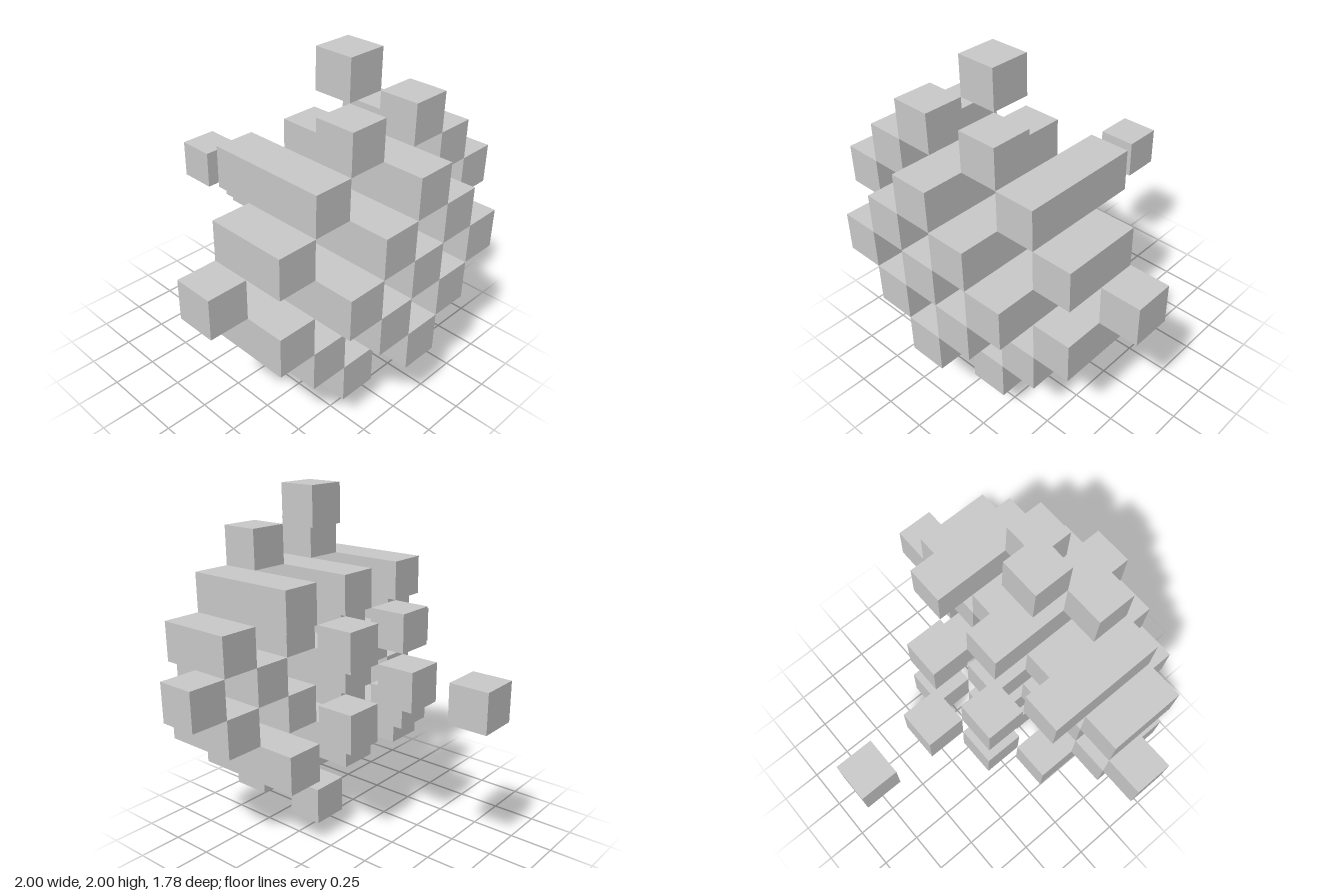
import * as THREE from 'three';

const UNIT = 2 / 9; // edge of one cube

export function createModel() {
  const group = new THREE.Group();
  const material = new THREE.MeshStandardMaterial({ color: 0xcccccc, flatShading: true });

  // Square bar in column (i, j), filling depth cells from back to front
  function addBar(name, i, j, back, front) {
    const depth = (front - back + 1) * UNIT;
    const bar = new THREE.Mesh(new THREE.BoxGeometry(UNIT, UNIT, depth), material);
    bar.position.set(i * UNIT, 1 + j * UNIT, back * UNIT + depth / 2);
    bar.name = name;
    group.add(bar);
  }

  // Same bar mirrored left-right and up-down
  function addMirrored(name, i, j, back, front) {
    for (const x of i ? [-i, i] : [0]) {
      for (const y of j ? [-j, j] : [0]) addBar(name, x, y, back, front);
    }
  }

  // Centre column and its two trailing cubes
  addBar('centreBar', 0, 0, 0, 3);
  addBar('innerBackCube', 0, 0, -2, -2);
  addBar('tailCube', 0, 0, -4, -4);

  // Ring around the centre, with loose cubes behind
  addMirrored('innerBar', 1, 1, 1, 3);
  addMirrored('backCube', 1, 1, -1, -1);

  // Middle ring
  addMirrored('sideBar', 2, 0, 1, 3);
  addMirrored('verticalBar', 0, 2, 0, 3);
  addMirrored('cornerBar', 2, 2, 0, 2);

  // Outer ring
  addMirrored('outerSideBar', 3, 1, 1, 2);
  addMirrored('outerVerticalCube', 1, 3, 2, 2);

  // Diamond tips
  addMirrored('sideTipCube', 4, 0, 1, 1);
  addMirrored('verticalTipCube', 0, 4, 1, 1);

  return group;
}
